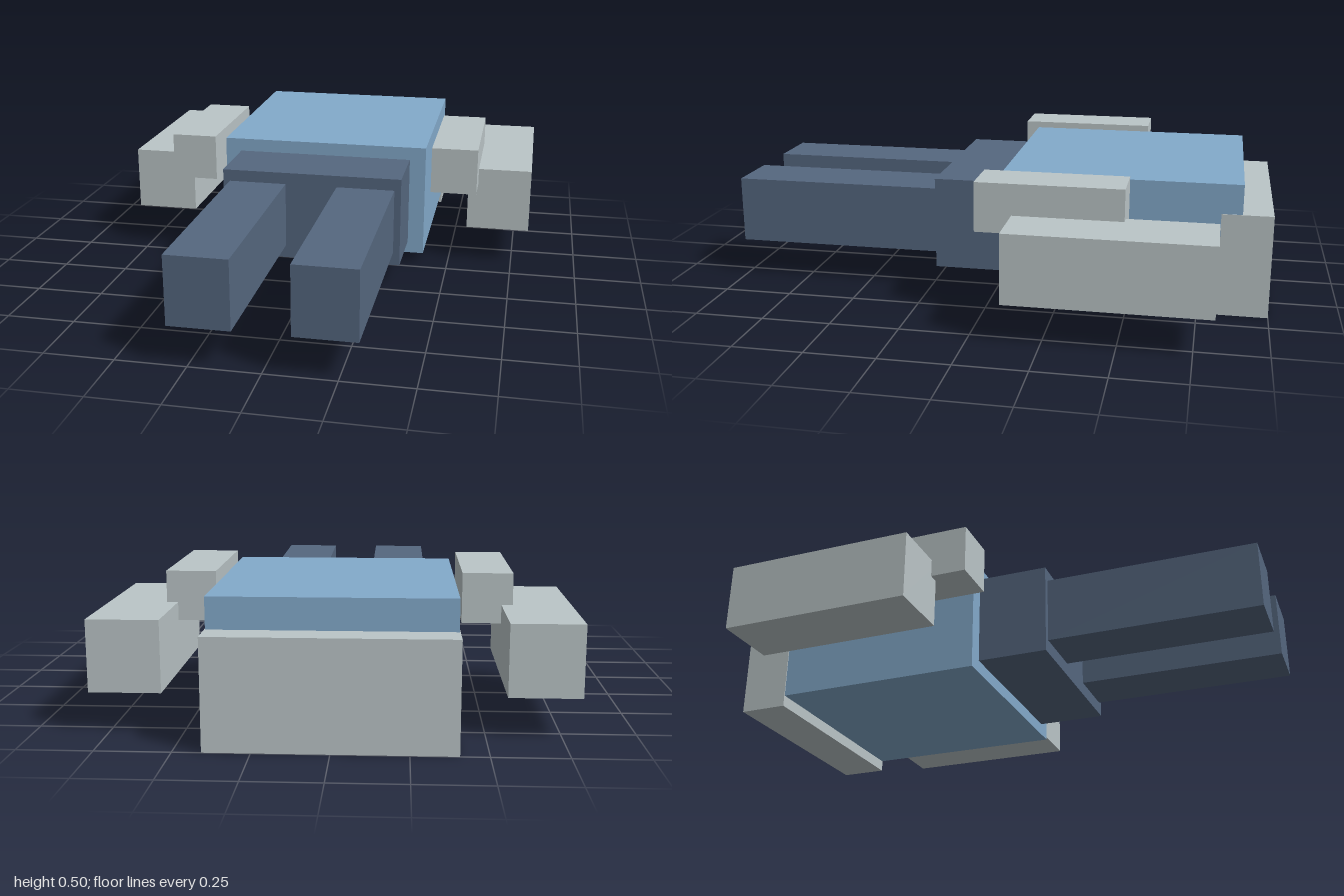
import * as THREE from 'three';

const paint = (name, color) => {
  const m = new THREE.MeshStandardMaterial({ color });
  m.name = name;
  return m;
};

export function createModel() {
  const blue = paint('blue', 0x83aacb);
  const navy = paint('navy', 0x55677f);
  const grey = paint('grey', 0xbbc5c7);
  const model = new THREE.Group();
  model.name = 'blockFigure';

  // Box given by its extents along each axis
  const addBox = (name, material, [x0, x1], [y0, y1], [z0, z1]) => {
    const mesh = new THREE.Mesh(new THREE.BoxGeometry(x1 - x0, y1 - y0, z1 - z0), material);
    mesh.position.set((x0 + x1) / 2, (y0 + y1) / 2, (z0 + z1) / 2);
    mesh.name = name;
    model.add(mesh);
  };

  // Body, lying flat with the head block at the back
  addBox('torso', blue, [-0.403, 0.403], [0.043, 0.48], [-0.893, -0.04]);
  addBox('headBlock', grey, [-0.406, 0.406], [0, 0.373], [-1, -0.82]);
  addBox('hips', navy, [-0.341, 0.341], [0.09, 0.43], [-0.04, 0.222]);

  // Limbs, mirrored to both sides
  for (const [side, s] of [['left', 1], ['right', -1]]) {
    const span = (a, b) => (s > 0 ? [a, b] : [-b, -a]);
    addBox(side + 'Leg', navy, span(0.098, 0.316), [0.14, 0.386], [0.222, 1]);
    addBox(side + 'OuterArm', grey, span(0.568, 0.812), [0.14, 0.386], [-0.817, -0.117]);
    addBox(side + 'InnerArm', grey, span(0.431, 0.607), [0.321, 0.498], [-0.503, 0.014]);
  }
  return model;
}
